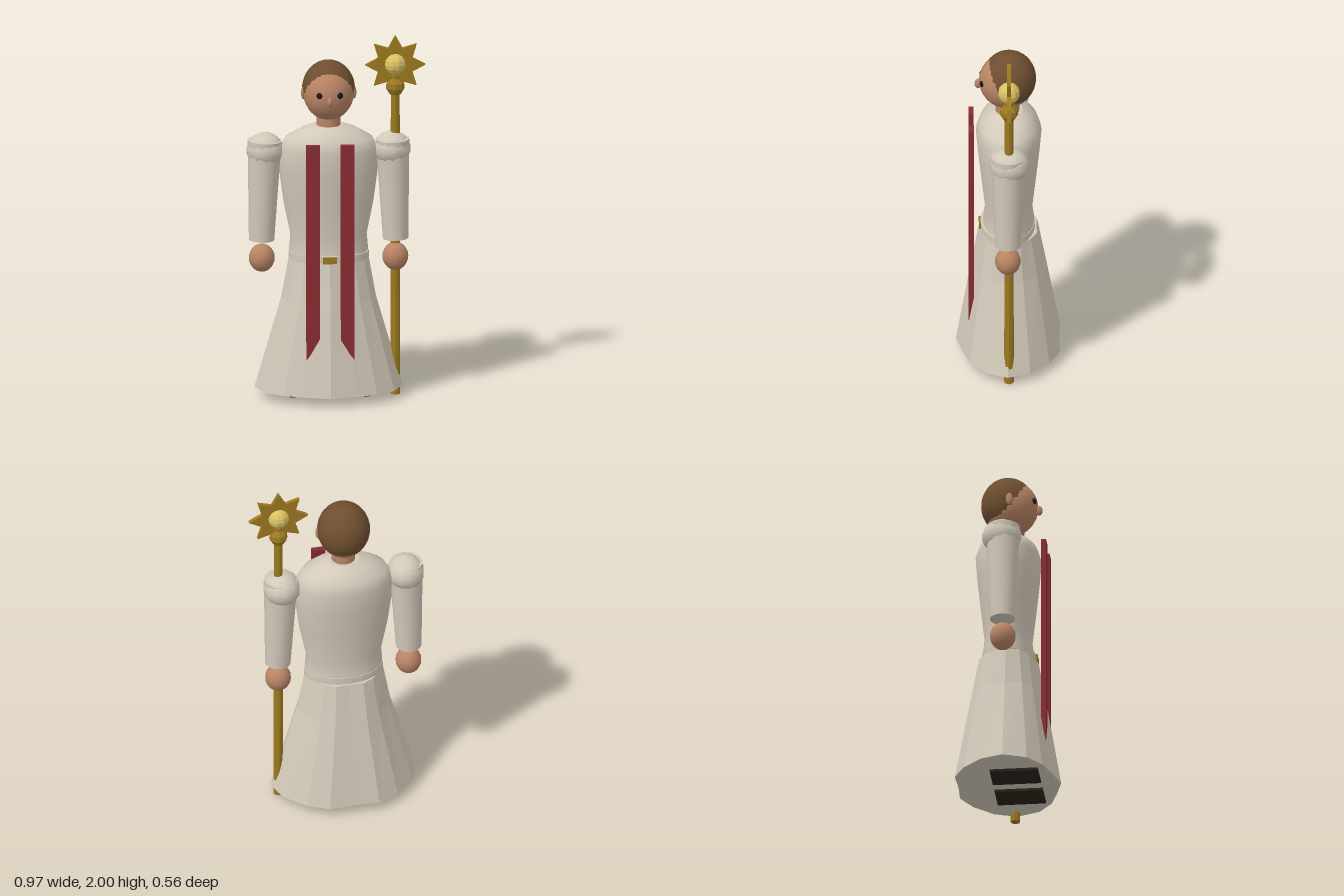
import * as THREE from 'three';

const mat = (color, flatShading = false) => new THREE.MeshStandardMaterial({ color, flatShading });
const cloth = mat(0xd2c9b9), clothFlat = mat(0xd2c9b9, true), skin = mat(0xb98465), hairMat = mat(0x6e4e30);
const red = mat(0x8a2c32), gold = mat(0x9c7a20, true), paleGold = mat(0xdcc264, true);
const shoe = mat(0x2c211b), eyeMat = mat(0x17181c);
const CX = -0.043; // body axis; the staff sits to one side

// Closed skin over rings of [x, y, z] points, front point first, lowest ring first
function loft(rings) {
  const n = rings[0].length, pos = rings.flat(2), index = [];
  for (let r = 0; r < rings.length - 1; r++) {
    for (let j = 0; j < n; j++) {
      const a = r * n + j, b = r * n + (j + 1) % n;
      index.push(a, b, b + n, a, b + n, a + n);
    }
  }
  for (const [ring, top] of [[rings[0], false], [rings[rings.length - 1], true]]) {
    const base = pos.length / 3;
    pos.push(...ring.flat(), 0, ring[0][1], 0);
    for (let j = 0; j < n; j++) {
      const k = (j + 1) % n;
      if (top) index.push(base + n, base + j, base + k);
      else index.push(base + n, base + k, base + j);
    }
  }
  const g = new THREE.BufferGeometry();
  g.setAttribute('position', new THREE.Float32BufferAttribute(pos, 3));
  g.setIndex(index);
  g.computeVertexNormals();
  return g;
}

const ellipse = (y, rx, rz, n = 24) => Array.from({ length: n }, (_, i) => {
  const a = i / n * Math.PI * 2;
  return [Math.sin(a) * rx, y, Math.cos(a) * rz];
});

export function createModel() {
  const model = new THREE.Group();
  model.name = 'robedFigure';

  const add = (name, geometry, material, x, y, z) => {
    const m = new THREE.Mesh(geometry, material);
    m.name = name;
    m.position.set(x, y, z);
    model.add(m);
    return m;
  };
  const ball = (name, material, x, y, z, rx, ry, rz, w = 20, h = 14) => {
    const m = add(name, new THREE.SphereGeometry(1, w, h), material, x, y, z);
    m.scale.set(rx, ry, rz);
    return m;
  };

  // Skirt: half outline of the hem, mirrored, scaled per level
  const half = [[0, 0.279], [0.14, 0.24], [0.252, 0.202], [0.35, 0.127], [0.4, 0],
    [0.357, -0.12], [0.252, -0.225], [0.137, -0.283], [0, -0.277]];
  const hem = [...half, ...half.slice(1, -1).reverse().map(([x, z]) => [-x, z])];
  const levels = [[0.05, 1, 1], [0.55, 0.64, 0.7], [0.77, 0.54, 0.56]];
  add('skirt', loft(levels.map(([y, sx, sz]) => hem.map(([x, z]) => [x * sx, y, z * sz]))),
    clothFlat, CX, 0, -0.004);

  // Torso
  const torso = [[0.78, 0.212, 0.14], [0.82, 0.213, 0.138], [0.9, 0.206, 0.128], [1.08, 0.242, 0.148],
    [1.25, 0.265, 0.166], [1.38, 0.266, 0.177], [1.44, 0.235, 0.158], [1.485, 0.155, 0.118],
    [1.51, 0.085, 0.077]];
  add('torso', loft(torso.map(r => ellipse(...r))), cloth, CX, 0, -0.01);

  // Belt and buckle
  add('belt', loft([ellipse(0.768, 0.217, 0.147), ellipse(0.808, 0.217, 0.147)]), cloth, CX, 0, -0.005);
  add('buckle', new THREE.BoxGeometry(0.075, 0.036, 0.03), gold, CX, 0.788, 0.136);

  // Neck and head
  add('neck', new THREE.CylinderGeometry(0.063, 0.066, 0.1, 16), skin, CX, 1.53, -0.003);
  ball('head', skin, CX, 1.695, 0, 0.138, 0.155, 0.15, 28, 20);
  ball('hair', hairMat, CX, 1.708, -0.012, 0.143, 0.157, 0.146, 28, 20);
  ball('nose', skin, CX, 1.675, 0.155, 0.016, 0.028, 0.02, 12, 8);

  // Paired parts
  for (const s of [-1, 1]) {
    const side = s > 0 ? 'left' : 'right';
    ball(side + 'Eye', eyeMat, CX + s * 0.054, 1.706, 0.132, 0.018, 0.018, 0.015, 12, 8);
    ball(side + 'Ear', skin, CX + s * 0.137, 1.69, 0.008, 0.013, 0.035, 0.02, 12, 8);
    ball(side + 'Shoulder', cloth, CX + s * 0.342, 1.37, -0.012, 0.102, 0.095, 0.108, 12, 9);
    const sleeve = add(side + 'Sleeve', new THREE.CylinderGeometry(0.092, 0.069, 0.555, 18),
      cloth, CX + s * 0.353, 1.148, -0.005);
    sleeve.rotation.z = s * 0.03;
    ball(side + 'Hand', skin, CX + s * 0.36, 0.77, -0.004, 0.07, 0.077, 0.07, 16, 12);
    add(side + 'Shoe', new THREE.BoxGeometry(0.17, 0.06, 0.26), shoe, CX + s * 0.13, 0.065, 0.04);

    // Stole band with a slanted end, longest on the outside
    const band = new THREE.Shape([[0.056, 1.445], [0.056, 0.345], [0.09, 0.3], [0.13, 0.248], [0.13, 1.445]]
      .map(([x, y]) => new THREE.Vector2(s * x, y)));
    add(side + 'StoleBand', new THREE.ExtrudeGeometry(band, { depth: 0.028, bevelEnabled: false }),
      red, CX, 0, 0.178);
  }

  // Staff with collar, star and orb
  const sx = 0.317, sz = -0.01;
  add('staffPole', new THREE.CylinderGeometry(0.024, 0.026, 1.78, 8), gold, sx, 0.89, sz);
  const collar = [[0, 1.67], [0.03, 1.672], [0.05, 1.705], [0.048, 1.735], [0.028, 1.76], [0, 1.762]];
  add('staffCollar', new THREE.LatheGeometry(collar.map(p => new THREE.Vector2(...p)), 8), gold, sx, 0, sz);
  const star = new THREE.Shape(Array.from({ length: 16 }, (_, i) => {
    const a = i * Math.PI / 8, r = i % 2 ? 0.1 : 0.163;
    return new THREE.Vector2(Math.sin(a) * r, Math.cos(a) * r);
  }));
  add('staffStar', new THREE.ExtrudeGeometry(star, { depth: 0.022, bevelEnabled: false }),
    gold, sx, 1.837, sz - 0.011);
  ball('staffOrb', paleGold, sx, 1.84, sz, 0.06, 0.06, 0.06, 10, 8);

  return model;
}
